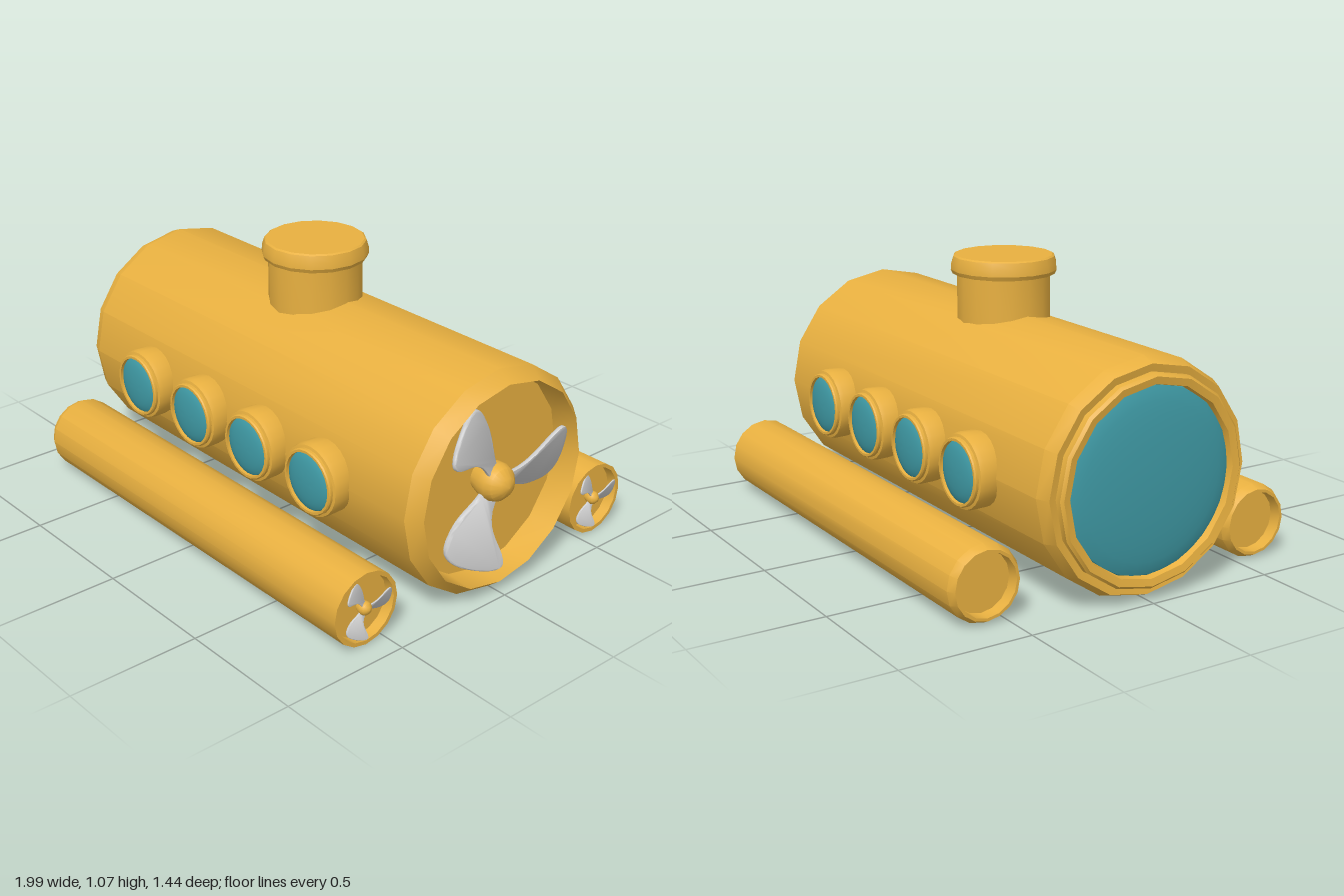
import * as THREE from 'three';
import { toCreasedNormals } from 'three/addons/utils/BufferGeometryUtils.js';

const yellow = new THREE.MeshStandardMaterial({ color: 0xe8b040 });
const teal = new THREE.MeshStandardMaterial({ color: 0x3f9aa5 });
const grey = new THREE.MeshStandardMaterial({ color: 0xcccccc });

// Turned part from [radius, height] pairs, listed bottom to top along the outside
function turned(name, profile, sides, material) {
  const points = profile.map(([r, h]) => new THREE.Vector2(r, h));
  const geometry = toCreasedNormals(new THREE.LatheGeometry(points, sides), 0.5);
  const mesh = new THREE.Mesh(geometry, material);
  mesh.name = name;
  return mesh;
}

// Turned part laid along the x axis
function turnedAlongX(...args) {
  const mesh = turned(...args);
  mesh.rotation.z = -Math.PI / 2;
  return mesh;
}

// Shallow dome profile: edge radius r at height h, rising by rise
function dome(r, h, rise, steps = 6) {
  return Array.from({ length: steps + 1 }, (_, i) => {
    const a = (i / steps) * Math.PI / 2;
    return [i === steps ? 0 : r * Math.cos(a), h + rise * Math.sin(a)];
  });
}

// Three pitched blades around a rounded hub, facing +x
function makePropeller() {
  const propeller = new THREE.Group();
  propeller.name = 'propeller';
  const outline = new THREE.Shape();
  outline.moveTo(0.03, 0.025);
  outline.bezierCurveTo(0.17, 0.01, 0.19, 0.1, 0.25, 0.14);
  outline.bezierCurveTo(0.3, 0.18, 0.325, 0.07, 0.328, 0);
  outline.bezierCurveTo(0.33, -0.1, 0.26, -0.09, 0.2, -0.085);
  outline.bezierCurveTo(0.13, -0.075, 0.1, -0.04, 0.03, -0.035);
  const blade = new THREE.ExtrudeGeometry(outline, {
    depth: 0.008, bevelEnabled: true, bevelThickness: 0.006, bevelSize: 0.006,
    bevelOffset: -0.006, bevelSegments: 2, curveSegments: 10,
  });
  // Pitch the blade by shearing it across its width
  const p = blade.attributes.position;
  for (let i = 0; i < p.count; i++) p.setZ(i, p.getZ(i) + 0.35 * p.getY(i));
  const bladeGeometry = toCreasedNormals(blade, 0.9);
  for (let i = 0; i < 3; i++) {
    const mesh = new THREE.Mesh(bladeGeometry, grey);
    mesh.name = 'blade';
    mesh.rotation.set(0, Math.PI / 2, 0);
    mesh.rotateZ((i * Math.PI * 2) / 3);
    propeller.add(mesh);
  }
  propeller.add(turnedAlongX('hub',
    [[0.055, -0.07], [0.072, -0.02], [0.072, 0.01], [0.062, 0.035], [0.035, 0.06], [0, 0.07]], 20, yellow));
  return propeller;
}

// Round window with stepped rim, facing +y before rotation
function makePorthole() {
  const porthole = new THREE.Group();
  porthole.name = 'porthole';
  porthole.add(turned('windowRim', [
    [0.125, 0.36], [0.137, 0.42], [0.138, 0.47], [0.134, 0.487], [0.124, 0.49],
    [0.124, 0.5], [0.12, 0.505], [0.111, 0.505], [0.111, 0.48],
  ], 24, yellow));
  porthole.add(turned('windowGlass', dome(0.112, 0.488, 0.027), 24, teal));
  return porthole;
}

export function createModel() {
  const model = new THREE.Group();
  model.name = 'submarine';

  // Hull with recessed propeller bay at +x and stepped window frame at -x
  const hull = new THREE.Group();
  hull.name = 'hull';
  hull.position.y = 0.44;
  hull.add(turnedAlongX('hullShell', [
    [0, -0.94], [0.335, -0.94], [0.345, -0.985], [0.372, -0.99], [0.382, -0.98], [0.382, -0.955],
    [0.41, -0.96], [0.43, -0.91], [0.43, 0.92], [0.388, 0.972], [0.38, 0.86], [0, 0.86],
  ], 16, yellow));
  const frontGlass = turned('frontWindow', dome(0.342, 0.955, 0.042, 8), 32, teal);
  frontGlass.rotation.z = Math.PI / 2;
  hull.add(frontGlass);
  const mainPropeller = makePropeller();
  mainPropeller.position.x = 0.927;
  hull.add(mainPropeller);
  model.add(hull);

  // Hatch tower with rounded cap
  const tower = turned('hatchTower', [
    [0.178, 0.8], [0.178, 1.01], [0.195, 1.01], [0.202, 1.025],
    [0.2, 1.05], [0.192, 1.075], [0.185, 1.08], [0, 1.08],
  ], 16, yellow);
  tower.position.set(-0.03, 0, 0.008);
  model.add(tower);

  for (const side of [1, -1]) {
    // Row of portholes
    for (let i = 0; i < 4; i++) {
      const porthole = makePorthole();
      porthole.position.set(-0.53 + i * 0.345, 0.44, 0);
      porthole.rotation.x = (side * Math.PI) / 2;
      model.add(porthole);
    }

    // Side thruster tube, open at both ends
    const thruster = new THREE.Group();
    thruster.name = 'sideThruster';
    thruster.position.set(0, 0.15, side * 0.58);
    thruster.add(turnedAlongX('thrusterTube', [
      [0, -0.81], [0.112, -0.81], [0.115, -0.855], [0.126, -0.855], [0.141, -0.825],
      [0.141, 0.905], [0.126, 0.905], [0.124, 0.865], [0, 0.865],
    ], 16, yellow));
    const propeller = makePropeller();
    propeller.scale.setScalar(0.35);
    propeller.position.x = 0.897;
    thruster.add(propeller);
    model.add(thruster);
  }
  return model;
}
